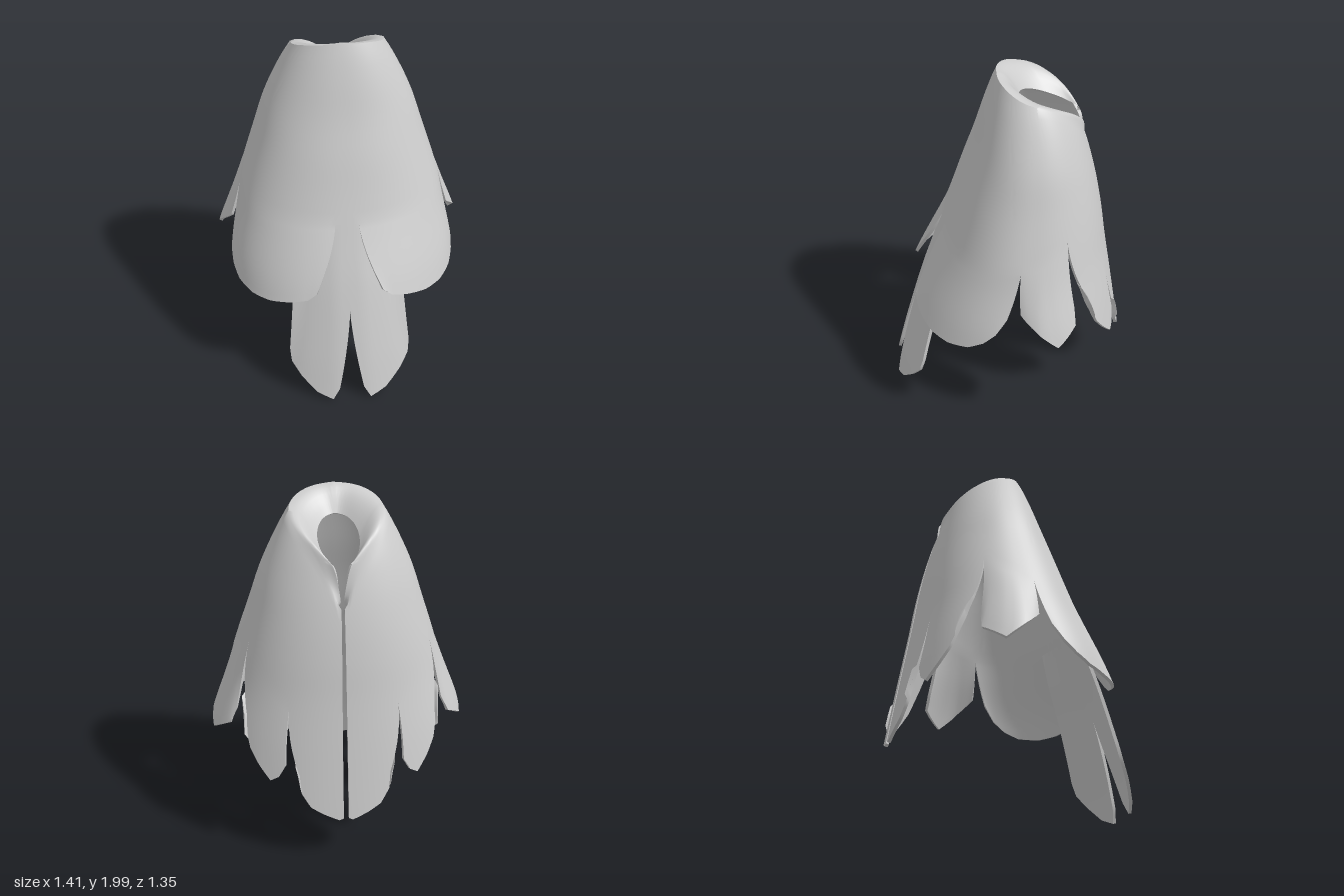
import * as THREE from 'three';
import { mergeVertices, toCreasedNormals } from 'three/addons/utils/BufferGeometryUtils.js';

// smooth interpolation through rows [key, value, ...] with ascending keys
function sample(rows, k, col) {
  let i = 0;
  while (i < rows.length - 2 && k > rows[i + 1][0]) i++;
  const slope = (a, b) => (rows[b][col] - rows[a][col]) / (rows[b][0] - rows[a][0]);
  const h = rows[i + 1][0] - rows[i][0];
  const t = Math.min(1, Math.max(0, (k - rows[i][0]) / h));
  const m0 = slope(Math.max(i - 1, 0), i + 1) * h;
  const m1 = slope(i, Math.min(i + 2, rows.length - 1)) * h;
  const t2 = t * t, t3 = t2 * t;
  return (2 * t3 - 3 * t2 + 1) * rows[i][col] + (t3 - 2 * t2 + t) * m0
    + (3 * t2 - 2 * t3) * rows[i + 1][col] + (t3 - t2) * m1;
}

// cross-sections: y, front z, half width, back z, centre z
const SECTIONS = [
  [0, 0.68, 0.78, -0.72, -0.05],
  [0.3, 0.605, 0.75, -0.675, -0.05],
  [0.7, 0.49, 0.69, -0.61, -0.05],
  [1.0, 0.385, 0.6, -0.56, -0.07],
  [1.2, 0.315, 0.54, -0.53, -0.09],
  [1.4, 0.25, 0.475, -0.49, -0.11],
  [1.6, 0.18, 0.41, -0.435, -0.12],
  [1.8, 0.12, 0.32, -0.36, -0.12],
  [1.95, 0.07, 0.235, -0.26, -0.11],
  [2, 0.05, 0.19, -0.2, -0.1],
];
// height of the collar ridge by angle (0 = front, 180 = back)
const RIM = [[0, 2], [45, 1.98], [90, 1.93], [120, 1.885], [145, 1.82], [160, 1.74], [172, 1.61], [180, 1.48]];

const lerp = THREE.MathUtils.lerp;
const clamp01 = (v) => Math.min(1, Math.max(0, v));
const rad = THREE.MathUtils.degToRad;
const soft = (v) => Math.sign(v) * Math.abs(v) ** 0.9;

// point on the body at an angle and height, pushed outward sideways and lengthwise
function body(deg, y, ox = 0, oz = 0) {
  const s = Math.sin(rad(deg)), c = Math.cos(rad(deg));
  const zc = sample(SECTIONS, y, 4);
  const depth = c > 0 ? sample(SECTIONS, y, 1) - zc : zc - sample(SECTIONS, y, 3);
  return [sample(SECTIONS, y, 2) * soft(s) + ox * s, y, zc + depth * soft(c) + oz * c];
}

// collar surface rolling from the neck hole (s = 0) up to the ridge (s = 1)
function collar(deg, s) {
  const top = sample(RIM, deg, 1), ridge = body(deg, top);
  const c = Math.cos(rad(deg));
  const drop = lerp(0.13, 0.03, Math.max(0, -c) ** 4);
  const holeX = deg > 90 ? Math.max(0.11 * Math.sin(rad(deg)), ridge[0] * 0.9 * (deg > 176)) : 0.11 * Math.sin(rad(deg));
  const holeZ = -0.24 + (c > 0 ? 0.17 : 0.19) * c;
  return [lerp(holeX, ridge[0], s), top - drop * (1 - Math.sin(s * Math.PI / 2)), lerp(holeZ, ridge[2], s)];
}

// point along a hem of evenly spaced [angle, y] points
function hemPoint(hem, u) {
  const f = u * (hem.length - 1), i = Math.min(Math.floor(f), hem.length - 2);
  return [lerp(hem[i][0], hem[i + 1][0], f - i), lerp(hem[i][1], hem[i + 1][1], f - i)];
}

// petals: angle range, slit heights at both sides, columns, outward flare, hem
const PANELS = [
  { from: 0, to: 5, slit: [1.06, 1.06], cols: 2 },
  { from: 5, to: 85, slit: [1.06, 1.1], cols: 32, flare: () => [-0.025, 0.06],
    hem: [[14, 0.71], [18, 0.67], [26, 0.645], [38, 0.62], [50, 0.615], [62, 0.635], [70, 0.68], [76, 0.74], [81, 0.83]] },
  { from: 85, to: 114, slit: [1.1, 1.24], cols: 18, flare: (u) => [0.045 * Math.sin(u * Math.PI) - 0.01, 0],
    hem: [[87, 0.87], [92, 0.81], [97, 0.76], [106, 0.68], [112, 0.72], [118, 0.76], [118, 0.85]] },
  { from: 114, to: 154, slit: [1.24, 0.95], cols: 18, flare: () => [0, 0.01],
    hem: [[129, 0.85], [132, 0.75], [135, 0.68], [141, 0.6], [148, 0.52], [152, 0.55], [155, 0.62]] },
  { from: 154, to: 179.3, slit: [0.95, 0.9], cols: 15, flare: () => [0, 0],
    hem: [[162, 0.56], [163, 0.46], [167, 0.38], [172, 0.34], [178, 0.3], [179.3, 0.31]] },
];
// long forked front tail, tucked under the front petals
const TAIL = { from: 0, to: 25, cols: 10, hem: [[4, 0.08], [6.5, 0.01], [13, 0.05], [20, 0.14], [25, 0.22], [26, 0.3]] };

// one column of points of a panel, from the neck down to the hem
function panelColumn(p, u) {
  const deg = lerp(p.from, p.to, u), top = sample(RIM, deg, 1), slit = lerp(p.slit[0], p.slit[1], u);
  const pts = [];
  for (let i = 0; i < 6; i++) pts.push(collar(deg, i / 6));
  for (let i = 0; i <= 16; i++) pts.push(body(deg, lerp(top, slit, i / 16)));
  if (p.hem) {
    const [hd, hy] = hemPoint(p.hem, u), [fx, fz] = p.flare(u);
    for (let i = 1; i <= 12; i++) {
      const t = i / 12;
      pts.push(body(lerp(deg, hd, t ** 1.5), lerp(slit, hy, t), fx * t, fz * t));
    }
  }
  return pts;
}

function tailColumn(p, u) {
  const deg = lerp(p.from, p.to, u), [hd, hy] = hemPoint(p.hem, u), pts = [];
  const side = clamp01((deg - 5) / 15);
  for (let i = 0; i <= 20; i++) {
    const t = i / 20, open = clamp01((t - 0.5) / 0.5) ** 1.5;
    const tuck = -side * lerp(0.009, 0.03, clamp01(t * 4));
    pts.push(body(lerp(deg, hd, open), lerp(1.06, hy, t), tuck, tuck));
  }
  return pts;
}

// joins columns into a sheet, with its mirror image
function addSheet(positions, indices, panel, column) {
  for (const side of [1, -1]) {
    const base = positions.length / 3;
    let rows = 0;
    for (let c = 0; c <= panel.cols; c++) {
      const pts = column(panel, c / panel.cols);
      rows = pts.length;
      for (const [x, y, z] of pts) positions.push(x * side, y, z);
    }
    for (let c = 0; c < panel.cols; c++) {
      for (let r = 0; r < rows - 1; r++) {
        const a = base + c * rows + r, b = a + 1, d = a + rows, e = d + 1;
        if (side > 0) indices.push(a, b, e, a, e, d);
        else indices.push(a, e, b, a, d, e);
      }
    }
  }
}

// gives a welded sheet an inner face and closed edges
function thicken(sheet, t) {
  sheet.computeVertexNormals();
  const pos = sheet.attributes.position, nor = sheet.attributes.normal, n = pos.count;
  const out = Array.from(pos.array), idx = Array.from(sheet.index.array), all = idx.slice();
  for (let i = 0; i < n; i++) {
    out.push(pos.getX(i) - nor.getX(i) * t, pos.getY(i) - nor.getY(i) * t, pos.getZ(i) - nor.getZ(i) * t);
  }
  const edges = new Set();
  for (let i = 0; i < idx.length; i += 3) {
    const f = [idx[i], idx[i + 1], idx[i + 2]];
    all.push(f[0] + n, f[2] + n, f[1] + n);
    f.forEach((a, k) => edges.add(a * n + f[(k + 1) % 3]));
  }
  for (const key of edges) {
    const a = Math.floor(key / n), b = key % n;
    if (!edges.has(b * n + a)) all.push(b, a, a + n, b, a + n, b + n);
  }
  const geo = new THREE.BufferGeometry();
  geo.setAttribute('position', new THREE.Float32BufferAttribute(out, 3));
  geo.setIndex(all);
  return toCreasedNormals(geo, 0.9);
}

export function createModel() {
  const cloth = new THREE.MeshStandardMaterial({ color: 0xcccccc });
  cloth.name = 'pale grey cloth';
  const positions = [], indices = [];
  for (const p of PANELS) addSheet(positions, indices, p, panelColumn);
  addSheet(positions, indices, TAIL, tailColumn);

  const sheet = new THREE.BufferGeometry();
  sheet.setAttribute('position', new THREE.Float32BufferAttribute(positions, 3));
  sheet.setIndex(indices);

  const cape = new THREE.Mesh(thicken(mergeVertices(sheet, 1e-4), 0.018), cloth);
  cape.name = 'petalCape';
  const group = new THREE.Group();
  group.name = 'petalGarment';
  group.add(cape);
  return group;
}
